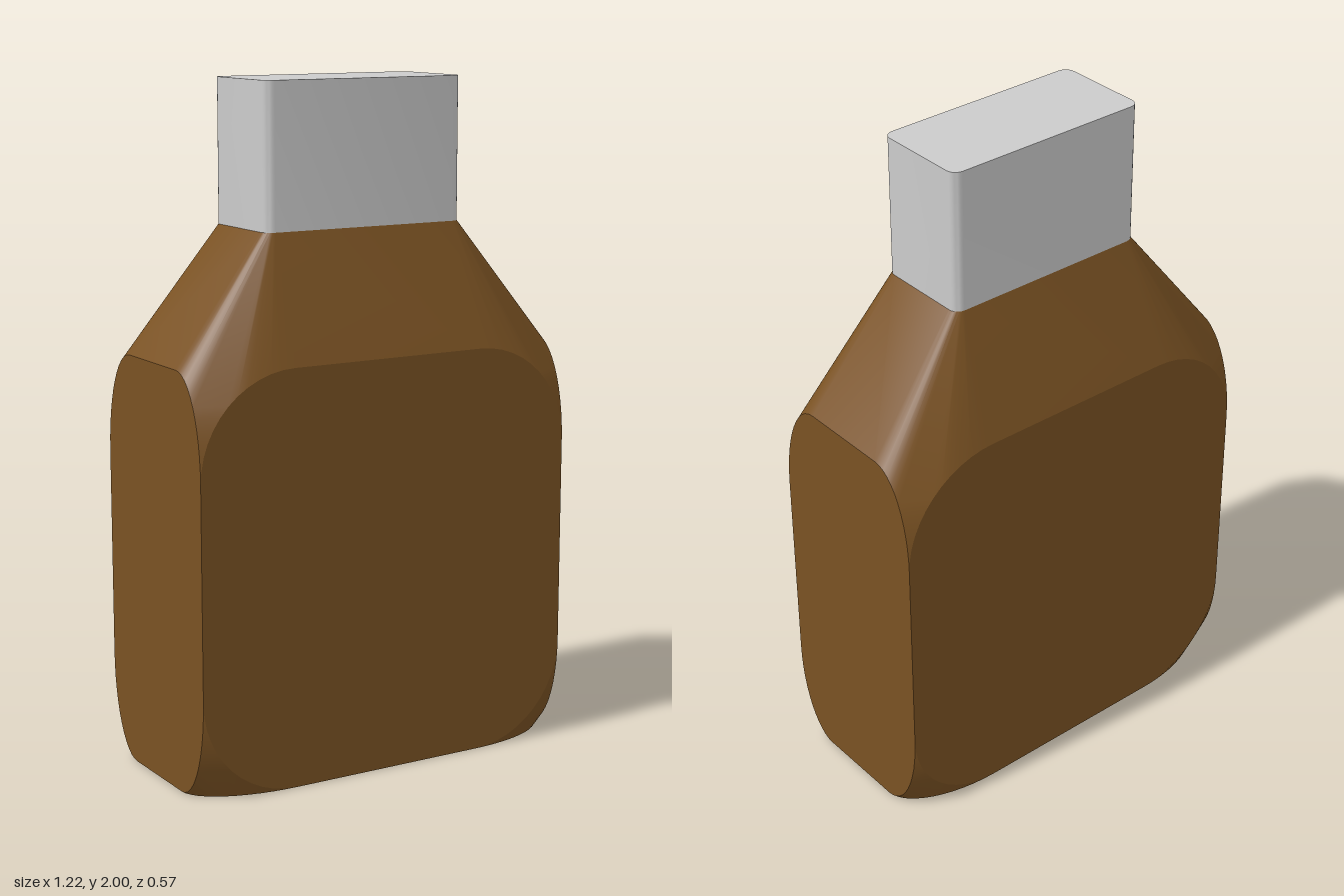
import * as THREE from 'three';
import { ConvexGeometry } from 'three/addons/geometries/ConvexGeometry.js';
import { toCreasedNormals } from 'three/addons/utils/BufferGeometryUtils.js';

const W = 0.61, D = 0.285, H = 1.22;   // half width, half depth, shoulder height
const NW = 0.326, ND = 0.151, NY = 1.58; // neck half width, half depth, base height
const RX = 0.3, RY = 0.3, RZ = 0.14;   // corner radii along each axis

// Outline of a rectangle (half sizes a, b) with elliptical corners (radii ra, rb)
function roundedRect(a, b, ra, rb, steps) {
  const points = [];
  [[1, 1], [-1, 1], [-1, -1], [1, -1]].forEach(([sx, sy], corner) => {
    for (let i = 0; i <= steps; i++) {
      const t = (corner + i / steps) * Math.PI / 2;
      points.push(new THREE.Vector2(sx * (a - ra) + ra * Math.cos(t), sy * (b - rb) + rb * Math.sin(t)));
    }
  });
  return points;
}

export function createModel() {
  const group = new THREE.Group();

  // Body: skin stretched over rounded faces on every side and the neck base
  const points = [];
  for (const s of [-1, 1]) {
    for (const p of roundedRect(W, H / 2, RX, RY, 12)) points.push(new THREE.Vector3(p.x, p.y + H / 2, s * D));
    for (const p of roundedRect(D, H / 2, RZ, RY, 12)) points.push(new THREE.Vector3(s * W, p.y + H / 2, p.x));
  }
  for (const p of roundedRect(W, D, RX, RZ, 12)) points.push(new THREE.Vector3(p.x, 0, p.y));
  for (const p of roundedRect(NW, ND, 0.03, 0.03, 6)) points.push(new THREE.Vector3(p.x, NY, p.y));
  const body = new THREE.Mesh(
    toCreasedNormals(new ConvexGeometry(points), 0.28),
    new THREE.MeshStandardMaterial({ color: 0x7a5223 })
  );
  body.name = 'bottleBody';
  group.add(body);

  // Cap: upright block with small rounded corners
  const capGeometry = new THREE.ExtrudeGeometry(
    new THREE.Shape(roundedRect(NW, ND, 0.03, 0.03, 6)),
    { depth: 2 - NY, bevelEnabled: false }
  );
  capGeometry.rotateX(-Math.PI / 2).translate(0, NY, 0);
  const cap = new THREE.Mesh(
    toCreasedNormals(capGeometry, 0.6),
    new THREE.MeshStandardMaterial({ color: 0xcccccc })
  );
  cap.name = 'cap';
  group.add(cap);

  return group;
}
